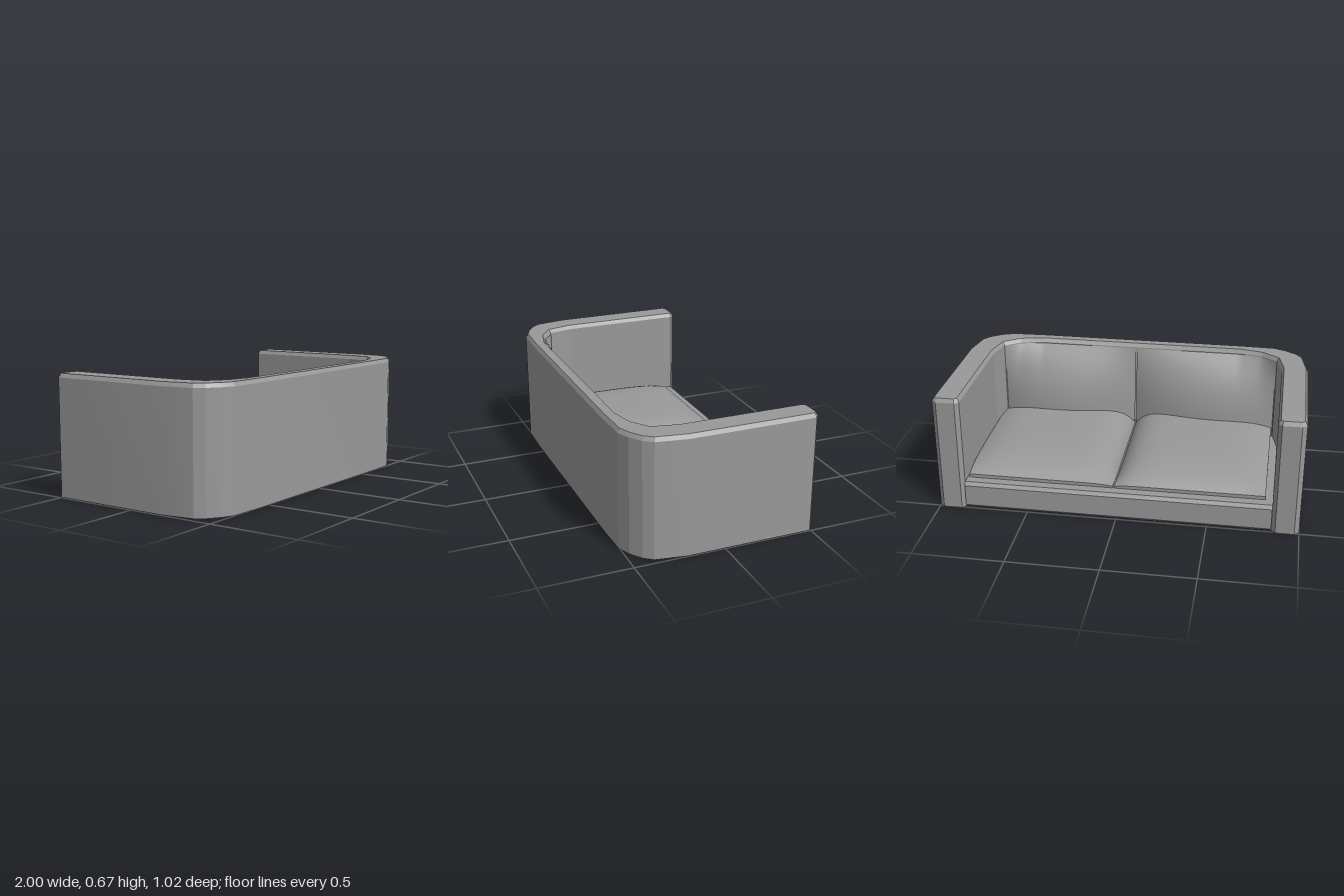
import * as THREE from 'three';
import { toCreasedNormals } from 'three/addons/utils/BufferGeometryUtils.js';

const fabric = new THREE.MeshStandardMaterial({ color: 0x999999, side: THREE.DoubleSide });
const { lerp, mapLinear } = THREE.MathUtils;

// Half outlines as [x, z], mirrored across x = 0
const outer = [[0.6, 0.512], [0.8, 0.505], [0.87, 0.476], [0.935, 0.43], [0.972, 0.38], [1, 0.21]];
const armEnd = [[1, -0.492], [0.975, -0.512], [0.872, -0.512], [0.85, -0.492]];
const inner = [[0.85, 0.2], [0.82, 0.34], [0.73, 0.405], [0.6, 0.435]];

function mirroredShape(half) {
  const mirror = half.map(([x, z]) => [-x, z]).reverse();
  return new THREE.Shape([...half, ...mirror].map(([x, z]) => new THREE.Vector2(x, z)));
}

function addMesh(group, name, geometry) {
  const mesh = new THREE.Mesh(geometry, fabric);
  mesh.name = name;
  group.add(mesh);
}

// Move every vertex by a rule
function reshape(geometry, rule) {
  const p = geometry.attributes.position;
  const v = new THREE.Vector3();
  for (let i = 0; i < p.count; i++) {
    rule(v.fromBufferAttribute(p, i));
    p.setXYZ(i, v.x, v.y, v.z);
  }
  geometry.computeVertexNormals();
  return geometry;
}

// Depth of the inner back wall, following the cut corners
function wallZ(x) {
  const a = Math.abs(x);
  if (a < 0.6) return 0.435;
  if (a < 0.73) return 0.435 - (a - 0.6) * 0.23;
  return 0.405 - (a - 0.73) * 0.72;
}

// U-shaped wall forming both arms and the backrest, chamfered on top only
function wallGeometry() {
  const g = new THREE.ExtrudeGeometry(mirroredShape([...outer, ...armEnd, ...inner]), {
    depth: 0.643, bevelEnabled: true, bevelSegments: 1,
    bevelThickness: 0.022, bevelSize: 0.013, bevelOffset: -0.013,
  });
  g.rotateX(Math.PI / 2).translate(0, 0.646, 0);
  reshape(g, (v) => { v.y = Math.max(v.y, 0.003); });
  return toCreasedNormals(g, 0.2);
}

// Seat platform with a chamfered front rail, swept along x
function platformGeometry() {
  const profile = [[0.465, 0], [-0.483, 0], [-0.503, 0.02], [-0.503, 0.14], [-0.488, 0.16], [0.465, 0.16]];
  const shape = new THREE.Shape(profile.map(([z, y]) => new THREE.Vector2(-z, y)));
  const g = new THREE.ExtrudeGeometry(shape, { depth: 1.7, bevelEnabled: false });
  return g.rotateY(Math.PI / 2).translate(-0.85, 0, 0);
}

// Seat cushion: a box with a rounded front, high at the arm, dipping at the seam
function seatGeometry(xArm, xSeam) {
  const side = Math.sign(xArm);
  const g = new THREE.BoxGeometry(2, 1, 2, 24, 1, 24);
  reshape(g, (v) => {
    const s = -v.x * side;
    const along = 1 - ((1 - v.z) / 2) ** 8;
    const dip = (0.01 + 0.045 * along) * Math.max(0, s) ** 8;
    v.y = v.y > 0 ? 0.18 + along * (0.035 + 0.05 * (1 - s ** 4)) - dip : 0.12;
    v.x = mapLinear(s, -1, 1, xArm, xSeam);
    v.z = mapLinear(v.z, -1, 1, -0.435, 0.425);
  });
  return toCreasedNormals(g, 0.8);
}

// Back cushion: a sheet flush with the wall on top, bulging towards the seat
function backGeometry(xArm, xSeam) {
  const side = Math.sign(xArm);
  const g = new THREE.PlaneGeometry(2, 1, 40, 18);
  return reshape(g, (v) => {
    const s = -v.x * side;
    const t = v.y + 0.5;
    const x = mapLinear(s, -1, 1, xArm, xSeam);
    const top = wallZ(x) - 0.005;
    const bottom = lerp(0.338, 0.4, (s + 1) / 2) - 0.083 * (1 - s * s);
    v.set(x, 0.14 + 0.502 * t, lerp(bottom, top, t ** 3));
  });
}

export function createModel() {
  const sofa = new THREE.Group();
  sofa.name = 'sofa';
  addMesh(sofa, 'armsAndBackrest', wallGeometry());
  addMesh(sofa, 'seatPlatform', platformGeometry());

  // Two seat and back cushions either side of the seam
  for (const [side, xArm, xSeam] of [['right', -0.81, 0.02], ['left', 0.84, 0.027]]) {
    addMesh(sofa, side + 'SeatCushion', seatGeometry(xArm, xSeam));
    addMesh(sofa, side + 'BackCushion', backGeometry(Math.sign(xArm) * 0.815, xSeam));
  }
  return sofa;
}
